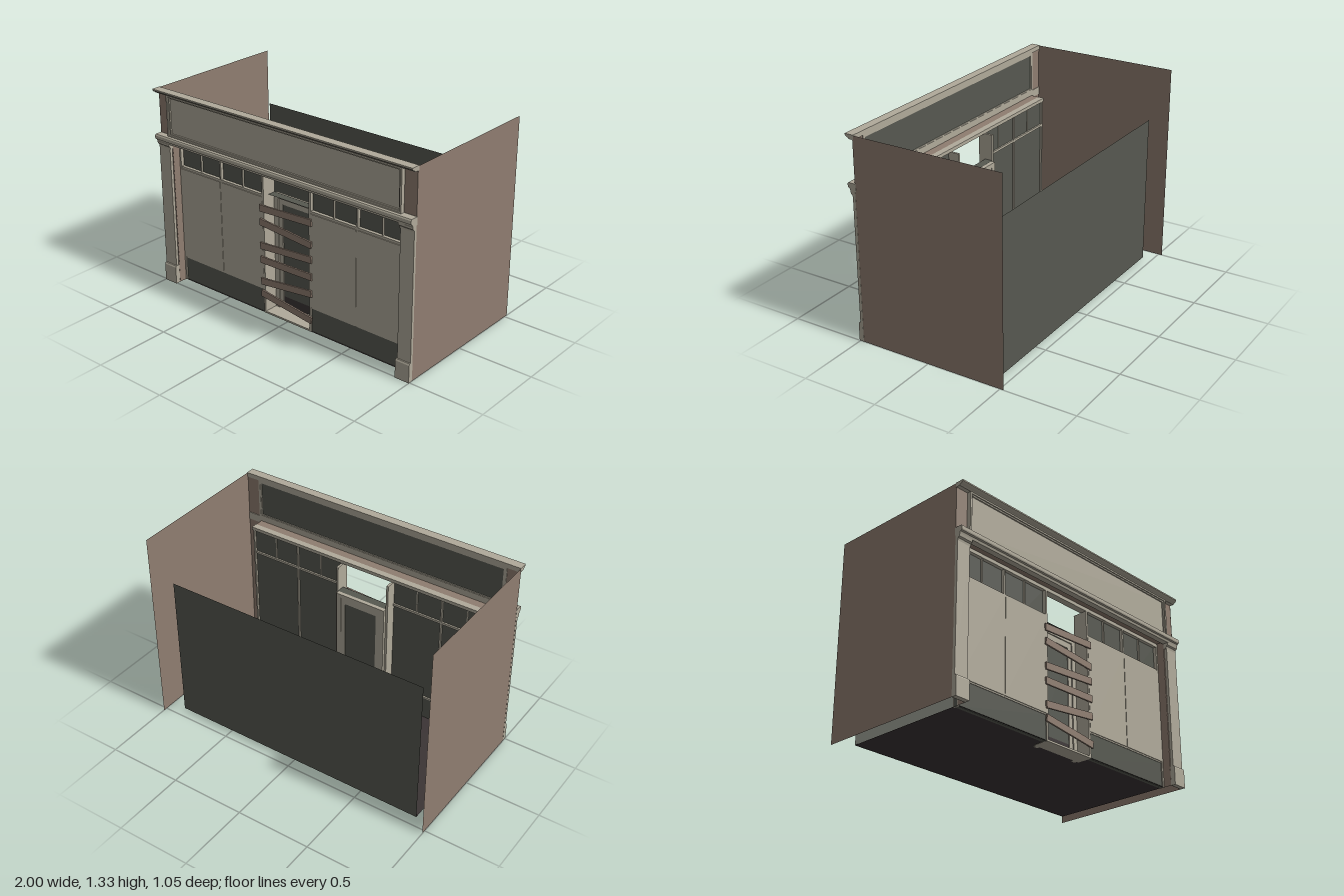
import * as THREE from 'three';

const flat = (name, color, side = THREE.FrontSide) => {
  const m = new THREE.MeshStandardMaterial({ color, side });
  m.name = name;
  return m;
};

export function createModel() {
  const model = new THREE.Group();
  model.name = 'boardedShop';
  const cream = flat('creamPaint', 0xb0aa9a);
  const brown = flat('brownWall', 0x8f7d70, THREE.DoubleSide);
  const green = flat('darkGreen', 0x565850, THREE.DoubleSide);
  const dark = flat('darkFloor', 0x3b3435, THREE.DoubleSide);

  const add = (name, geometry, material) => {
    const mesh = new THREE.Mesh(geometry, material);
    mesh.name = name;
    model.add(mesh);
    return mesh;
  };
  // box from its limits on each axis
  const box = (name, mat, x0, x1, y0, y1, z0, z1) => {
    const mesh = add(name, new THREE.BoxGeometry(x1 - x0, y1 - y0, z1 - z0), mat);
    mesh.position.set((x0 + x1) / 2, (y0 + y1) / 2, (z0 + z1) / 2);
    return mesh;
  };
  // the same box on both sides of the middle
  const pair = (name, mat, x0, x1, ...rest) => {
    box(name + 'Left', mat, x0, x1, ...rest);
    box(name + 'Right', mat, -x1, -x0, ...rest);
  };
  // open sheet, turned about x or y
  const sheet = (name, mat, w, h, pos, rx = 0, ry = 0) => {
    const mesh = add(name, new THREE.PlaneGeometry(w, h), mat);
    mesh.position.set(...pos);
    mesh.rotation.set(rx, ry, 0);
    return mesh;
  };
  // moulding along x from a (z, y) profile
  const moulding = (name, profile, x0, x1) => {
    const shape = new THREE.Shape(profile.map(([z, y]) => new THREE.Vector2(z, y)));
    const g = new THREE.ExtrudeGeometry(shape, { depth: x1 - x0, bevelEnabled: false });
    g.rotateY(-Math.PI / 2).translate(x1, 0, 0);
    return add(name, g, cream);
  };
  // rectangular frame with an opening
  const frame = (name, x0, x1, y0, y1, t, z0, z1) => {
    box(name + 'Bottom', cream, x0, x1, y0, y0 + t, z0, z1);
    box(name + 'Top', cream, x0, x1, y1 - t, y1, z0, z1);
    box(name + 'SideA', cream, x0, x0 + t, y0 + t, y1 - t, z0, z1);
    box(name + 'SideB', cream, x1 - t, x1, y0 + t, y1 - t, z0, z1);
  };

  // shell: floor, back wall, side walls and the reveal of the front wall
  sheet('floor', dark, 1.8, 0.85, [0, 0.002, -0.005], -Math.PI / 2);
  sheet('backWall', green, 1.8, 1, [0, 0.5, -0.43]);
  for (const s of [-1, 1]) {
    sheet('sideWall', brown, 1, 1.33, [s * 0.999, 0.665, -0.025], 0, s * Math.PI / 2);
    sheet('frontWallStrip', brown, 0.1, 1.33, [s * 0.949, 0.665, 0.474]);
    sheet('reveal', brown, 0.06, 1, [s * 0.9, 0.5, 0.445], 0, s * Math.PI / 2);
  }
  sheet('soffit', brown, 1.8, 0.06, [0, 1.0, 0.445], -Math.PI / 2);

  // pilasters with plinth and capital
  pair('pilaster', cream, 0.905, 1, 0.12, 0.95, 0.475, 0.494);
  for (const x0 of [-1, 0.9]) {
    moulding('plinth', [[0.475, 0], [0.507, 0], [0.507, 0.115], [0.502, 0.126], [0.475, 0.126]], x0, x0 + 0.1);
    moulding('capital', [[0.475, 0.945], [0.494, 0.945], [0.497, 0.96], [0.507, 0.968], [0.511, 0.985], [0.475, 0.985]], x0, x0 + 0.1);
  }

  // lower and upper cornices
  moulding('lowerCornice', [[0.47, 0.983], [0.509, 0.983], [0.514, 0.998], [0.524, 1.002],
    [0.527, 1.01], [0.527, 1.026], [0.522, 1.034], [0.47, 1.034]], -1, 1);
  moulding('topCornice', [[0.468, 1.303], [0.5, 1.303], [0.506, 1.31], [0.517, 1.315],
    [0.527, 1.324], [0.527, 1.333], [0.468, 1.333]], -1, 1);

  // sign board
  frame('signFrame', -0.912, 0.912, 1.03, 1.307, 0.013, 0.47, 0.501);
  frame('signInnerFrame', -0.899, 0.899, 1.043, 1.294, 0.009, 0.472, 0.493);
  box('signPanel', cream, -0.892, 0.892, 1.05, 1.287, 0.478, 0.484);
  sheet('signBack', green, 1.78, 0.235, [0, 1.168, 0.476]);

  // shop front framing
  box('headBeam', cream, -0.905, 0.905, 0.975, 0.998, 0.375, 0.42);
  pair('endPost', cream, 0.888, 0.9, 0, 0.975, 0.38, 0.42);
  pair('recessPost', cream, 0.18, 0.195, 0, 0.975, 0.32, 0.42);
  pair('mullion', cream, 0.537, 0.549, 0.165, 0.975, 0.382, 0.418);
  pair('transomBar', cream, 0.195, 0.888, 0.796, 0.812, 0.382, 0.418);
  pair('windowSill', cream, 0.195, 0.888, 0.162, 0.172, 0.382, 0.416);
  pair('thinMuntinInner', cream, 0.36, 0.367, 0.812, 0.975, 0.388, 0.41);
  pair('thinMuntinOuter', cream, 0.716, 0.723, 0.812, 0.975, 0.388, 0.41);
  pair('stallRiser', green, 0.195, 0.9, 0, 0.164, 0.388, 0.412);
  pair('windowGlass', green, 0.195, 0.89, 0.168, 0.977, 0.393, 0.397);

  // boards over the windows, each slightly crooked
  [[-0.718, 0.004], [-0.365, -0.003], [0.365, 0.003], [0.718, -0.004]].forEach(([x, tilt]) => {
    const board = add('windowBoard', new THREE.BoxGeometry(0.347, 0.624, 0.01), cream);
    board.position.set(x, 0.483, 0.416);
    board.rotation.z = tilt;
  });

  // recessed door
  sheet('recessCeiling', green, 0.36, 0.055, [0, 0.8, 0.347], -Math.PI / 2);
  box('recessStep', cream, -0.18, 0.18, 0, 0.012, 0.32, 0.42);
  pair('doorJamb', cream, 0.148, 0.18, 0, 0.795, 0.3, 0.326);
  box('doorHead', cream, -0.165, 0.165, 0.767, 0.795, 0.3, 0.326);
  pair('doorStile', cream, 0.118, 0.148, 0.012, 0.767, 0.304, 0.318);
  box('doorTopRail', cream, -0.118, 0.118, 0.73, 0.767, 0.304, 0.318);
  box('doorBottomRail', cream, -0.118, 0.118, 0.01, 0.036, 0.304, 0.318);
  box('doorGlass', green, -0.118, 0.118, 0.095, 0.73, 0.309, 0.313);
  box('doorKickPanel', dark, -0.118, 0.118, 0.036, 0.095, 0.309, 0.313);

  // planks nailed across the doorway: height at the -x end and at the +x end
  [[0.722, 0.742], [0.63, 0.595], [0.468, 0.498], [0.373, 0.382], [0.222, 0.268], [0.14, 0.085]].forEach(([a, b]) => {
    const plank = add('plank', new THREE.BoxGeometry(0.412, 0.045, 0.011), brown);
    plank.position.set(0, (a + b) / 2, 0.427);
    plank.rotation.z = Math.atan2(b - a, 0.41);
  });

  return model;
}
